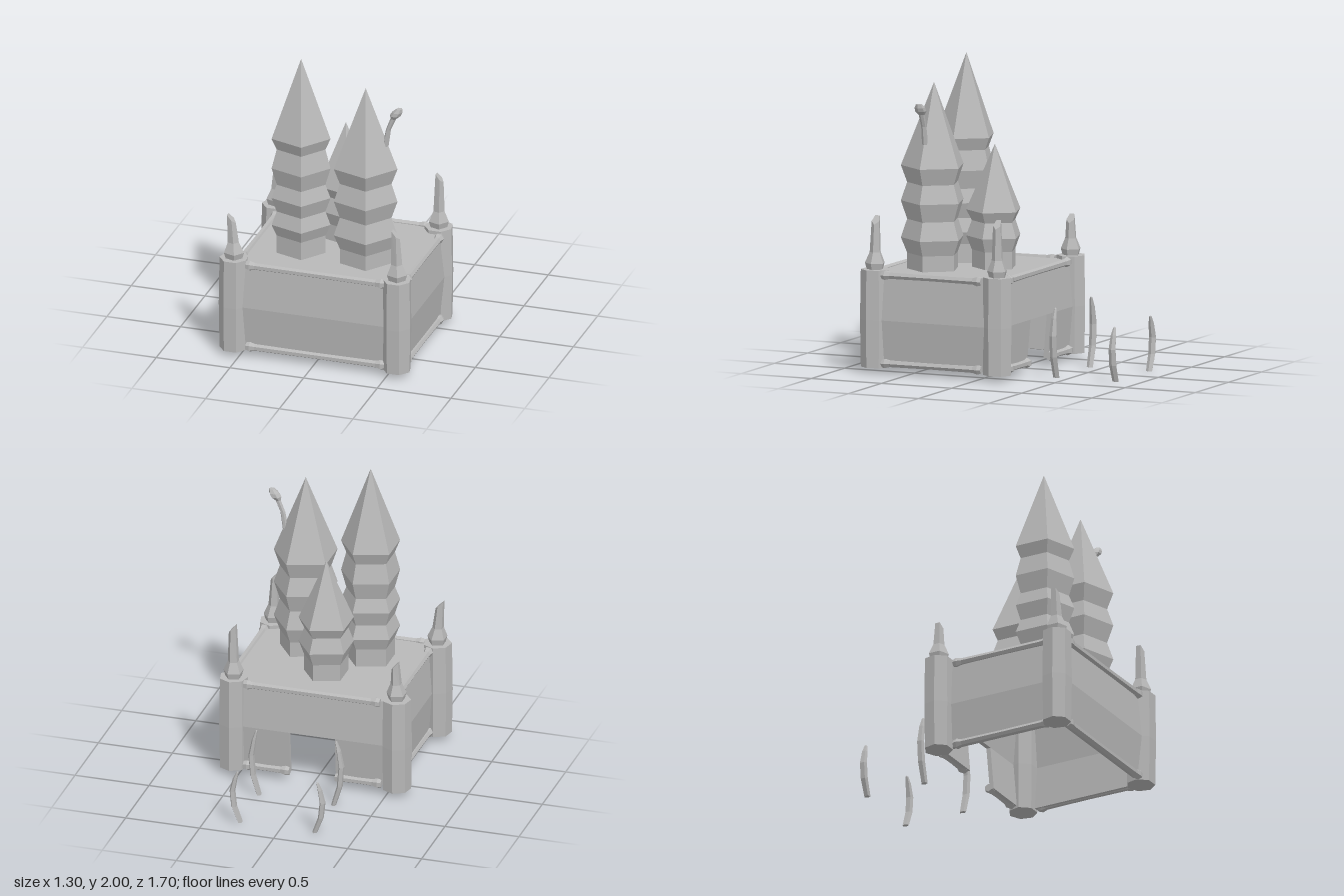
import * as THREE from 'three';

export function createModel() {
  const root = new THREE.Group();
  root.name = 'boneFortress';
  const stone = new THREE.MeshStandardMaterial({ color: 0xb8b8b8, flatShading: true, side: THREE.DoubleSide });
  stone.name = 'paleStone';

  const add = (name, geo, x = 0, y = 0, z = 0, parent = root) => {
    const m = new THREE.Mesh(geo, stone);
    m.name = name;
    m.position.set(x, y, z);
    parent.add(m);
    return m;
  };
  // faceted turned solid from [radius, height] pairs, bottom to top
  const turned = (pairs, sides, start = Math.PI / 2) =>
    new THREE.LatheGeometry(pairs.map(([r, y]) => new THREE.Vector2(r, y)), sides, start);
  // move vertices by a rule
  const warp = (geo, rule) => {
    const p = geo.attributes.position;
    const v = new THREE.Vector3();
    for (let i = 0; i < p.count; i++) {
      v.fromBufferAttribute(p, i);
      rule(v);
      p.setXYZ(i, v.x, v.y, v.z);
    }
    geo.computeVertexNormals();
    return geo;
  };

  // Walls: thin slabs folded outward at mid height
  const BOTTOM = 0.05, MID = 0.345, TOP = 0.645, THICK = 0.03, BULGE = 0.025;
  const wall = (name, length, profile) => {
    const outer = profile.map(([o, y]) => new THREE.Vector2(o, y));
    const inner = profile.map(([o, y]) => new THREE.Vector2(o - THICK, y)).reverse();
    const geo = new THREE.ExtrudeGeometry(new THREE.Shape([...outer, ...inner]), { depth: length, bevelEnabled: false });
    geo.translate(0, 0, -length / 2);
    geo.rotateY(-Math.PI / 2);
    return add(name, geo);
  };
  const lower = [[0, BOTTOM], [BULGE, MID]];
  const upper = [[BULGE, MID], [0, TOP]];
  const full = [...lower, [0, TOP]];

  wall('frontWall', 1.08, full).position.set(0.03, 0, 0.78);
  const left = wall('leftWall', 0.86, full);
  left.rotation.y = Math.PI / 2;
  left.position.set(0.585, 0, 0.32);
  const right = wall('rightWall', 0.86, full);
  right.rotation.y = -Math.PI / 2;
  right.position.set(-0.52, 0, 0.32);

  // Back wall with a gateway in its lower half
  const back = new THREE.Group();
  back.name = 'backWall';
  [[1.08, 0.03, upper], [0.4, 0.36, lower], [0.36, -0.33, lower]].forEach(([len, x, prof]) => {
    const w = wall('backWallPanel', len, prof);
    w.rotation.y = Math.PI;
    w.position.set(x, 0, -0.14);
    back.add(w);
  });
  root.add(back);

  // Roof deck; the underside is open
  add('roofDeck', new THREE.BoxGeometry(1.1, 0.02, 0.9), 0.03, 0.637, 0.32);

  // Bone rails with knuckled ends
  const rail = (name, length, x, y, z, alongX) => {
    const h = length / 2, r = 0.024, k = 0.034;
    const geo = turned([[0, -h], [k * 0.8, -h], [k, -h + 0.025], [r, -h + 0.06],
      [r * 0.9, 0], [r, h - 0.06], [k, h - 0.025], [k * 0.8, h], [0, h]], 6);
    if (alongX) geo.rotateZ(Math.PI / 2);
    else geo.rotateX(Math.PI / 2);
    add(name, geo, x, y, z);
  };
  for (const y of [0.64, 0.065]) {
    rail('frontRail', 0.94, 0.01, y, 0.785, true);
    rail('leftRail', 0.71, 0.59, y, 0.335, false);
    rail('rightRail', 0.71, -0.52, y, 0.335, false);
  }
  rail('backTopRail', 0.92, 0.01, 0.64, -0.145, true);
  rail('backLowerRail', 0.31, 0.315, 0.065, -0.15, true);
  rail('backLowerRail', 0.31, -0.305, 0.065, -0.15, true);

  // Corner posts, each carrying a snapped spike
  const posts = [[-0.553, 0.755, 0.975, -0.02], [0.553, 0.755, 1.02, -0.01],
    [-0.553, -0.118, 0.94, 0.01], [0.55, -0.115, 1.045, 0.005]];
  for (const [x, z, tip, lean] of posts) {
    add('cornerPost', turned([[0, 0.03], [0.094, 0.035], [0.099, 0.345], [0.094, 0.67], [0, 0.67]], 7, Math.PI / 7), x, 0, z);
    const spike = turned([[0.055, 0.665], [0.068, 0.71], [0.038, 0.78], [0.028, tip - 0.03], [0, tip - 0.03]], 5);
    warp(spike, (v) => {
      if (v.y > tip - 0.04) v.y -= v.x * 1.1;
      v.x += lean * Math.max(0, (v.y - 0.72) / (tip - 0.72));
    });
    add('postSpike', spike, x, 0, z);
  }

  // Pleated five-sided towers with pointed roofs
  const tower = (name, x, z, narrow, wide, heights, apex) => {
    const pairs = [[narrow, 0.63]];
    heights.forEach((y, i) => pairs.push([i % 2 ? wide : narrow, y]));
    pairs.push([0, apex]);
    add(name, turned(pairs, 5), x, 0, z);
  };
  tower('tallTower', -0.195, 0.46, 0.165, 0.2, [0.77, 0.85, 0.94, 1.04, 1.13, 1.25, 1.38, 1.46], 2);
  tower('middleTower', 0.25, 0.48, 0.175, 0.216, [0.75, 0.85, 0.97, 1.09, 1.21, 1.32], 1.865);
  tower('shortTower', 0.01, 0.16, 0.15, 0.187, [0.76, 0.85, 0.95, 1.02], 1.45);

  // Bone chimney leaning out of the middle tower
  const chimney = turned([[0.02, 0], [0.017, 0.12], [0.019, 0.2], [0.036, 0.225], [0.034, 0.25], [0.02, 0.275], [0, 0.275]], 6);
  warp(chimney, (v) => { v.x += 0.33 * v.y - 0.02 * Math.sin(v.y * 12); });
  add('boneChimney', chimney, 0.385, 1.475, 0.48);

  // Curved ribs lining the path to the gateway
  const ribs = [[0.285, -0.41, 0.46, 1], [-0.22, -0.41, 0.46, -1], [0.28, -0.83, 0.36, 1], [-0.225, -0.83, 0.36, -1]];
  for (const [x, z, h, dir] of ribs) {
    const geo = turned([[0, 0], [0.023, 0], [0.026, h * 0.3], [0.026, h * 0.6], [0.02, h * 0.85], [0.01, h * 0.98], [0, h]], 5);
    warp(geo, (v) => {
      v.x = v.x * 0.75 + dir * (0.045 * Math.sin(Math.PI * v.y / h) + 0.015 * v.y / h);
    });
    add('pathRib', geo, x, 0, z);
  }
  return root;
}
